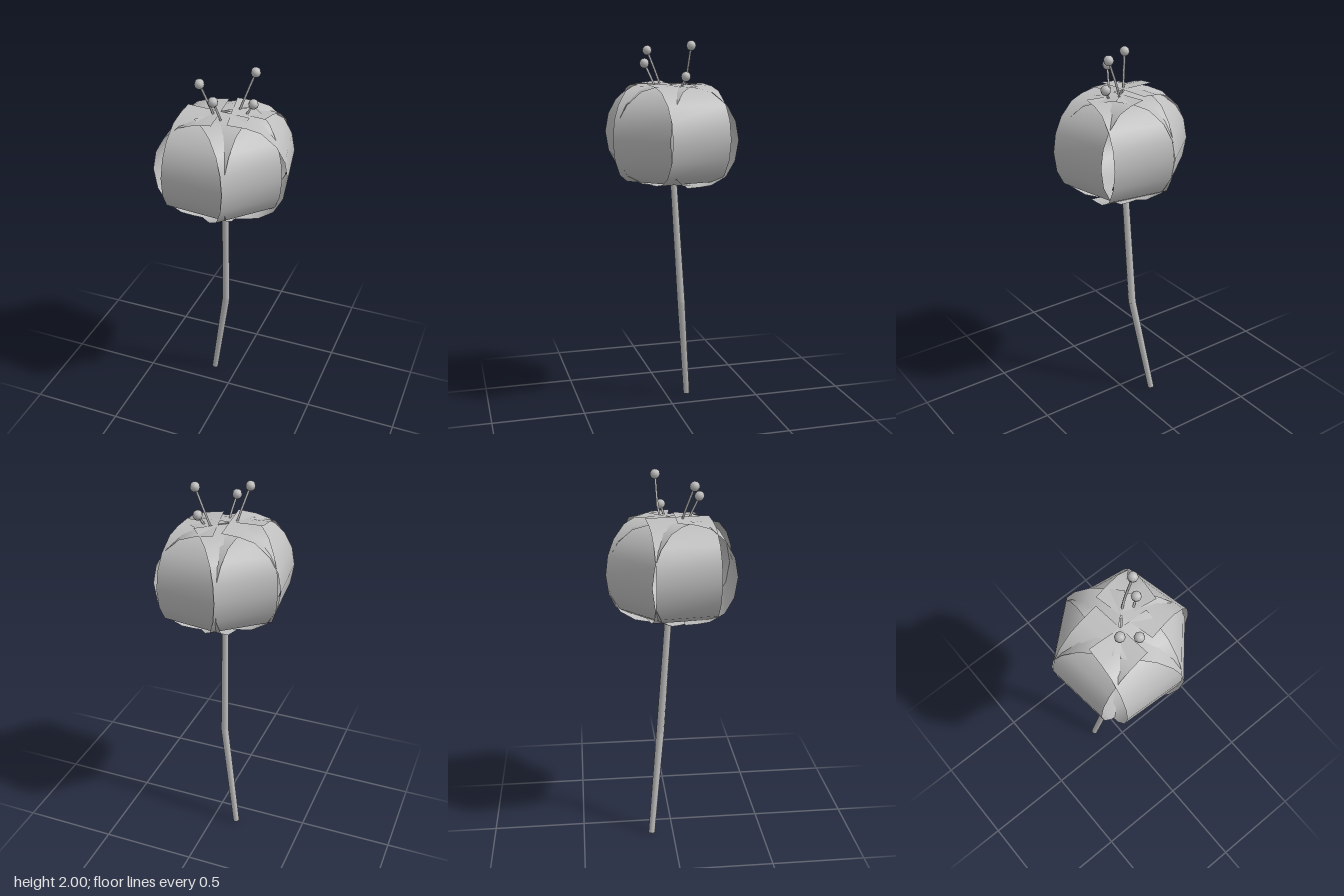
import * as THREE from 'three';

const V = (x, y, z) => new THREE.Vector3(x, y, z);

export function createModel() {
  const model = new THREE.Group();
  const grey = new THREE.MeshStandardMaterial({ color: 0xbebebe, side: THREE.DoubleSide });
  grey.name = 'plainGrey';

  const add = (name, geometry, parent = model) => {
    const mesh = new THREE.Mesh(geometry, grey);
    mesh.name = name;
    parent.add(mesh);
    return mesh;
  };

  // Petal: a rectangle bent into a C, open towards the flower's middle.
  // Each pair is the depth towards the middle and the height, from top to bottom.
  const bend = [
    [0.302, 0.26], [0.21, 0.25], [0.135, 0.228], [0.06, 0.163], [0.017, 0.085], [0, -0.012],
    [0.018, -0.118], [0.065, -0.2], [0.14, -0.243], [0.2, -0.252], [0.265, -0.257],
  ];
  const petalGeometry = new THREE.PlaneGeometry(0.33, 1, 1, bend.length - 1);
  const pos = petalGeometry.attributes.position;
  for (let i = 0; i < pos.count; i++) {
    const [depth, height] = bend[Math.floor(i / 2)];
    pos.setXYZ(i, pos.getX(i), height, -depth);
  }
  petalGeometry.computeVertexNormals();

  // Outermost point of each petal (x, y, z), the direction it faces and its roll, in degrees
  const petals = [
    [-0.065, 1.524, 0.322, 92, -2.5],
    [0.21, 1.518, 0.218, 42, 0],
    [0.312, 1.52, -0.072, -12, 0],
    [0.073, 1.514, -0.31, -82, 0],
    [-0.215, 1.52, -0.23, 229, 0],
    [-0.33, 1.524, 0.062, 174, 0],
  ];
  petals.forEach(([x, y, z, angle, roll], i) => {
    const petal = add(`petal${i + 1}`, petalGeometry);
    petal.position.set(x, y, z);
    petal.rotation.y = THREE.MathUtils.degToRad(90 - angle);
    petal.rotation.z = THREE.MathUtils.degToRad(roll);
  });

  // Stem: two straight lengths meeting at a bend, running up inside the flower
  const stem = new THREE.Group();
  stem.name = 'stem';
  model.add(stem);
  const rod = (name, a, b, radiusA, radiusB) => {
    const dir = b.clone().sub(a);
    const mesh = add(name, new THREE.CylinderGeometry(radiusB, radiusA, dir.length(), 8), stem);
    mesh.position.copy(a).add(b).multiplyScalar(0.5);
    mesh.quaternion.setFromUnitVectors(V(0, 1, 0), dir.normalize());
  };
  const knee = V(-0.038, 0.585, -0.06);
  const stemTop = V(-0.013, 1.6, 0.012);
  rod('lowerStem', V(-0.134, 0.003, -0.12), knee, 0.018, 0.022);
  rod('upperStem', knee, stemTop, 0.022, 0.017);
  add('stemBend', new THREE.SphereGeometry(0.022, 8, 6), stem).position.copy(knee);

  // Stamens: thin curved filaments with round tips
  const stamens = [
    [V(-0.058, 1.78, 0.055), V(-0.105, 1.95, 0.11)],
    [V(-0.002, 1.77, 0.095), V(-0.022, 1.885, 0.145)],
    [V(0.043, 1.78, -0.052), V(0.116, 1.975, -0.067)],
    [V(0.088, 1.77, -0.025), V(0.116, 1.82, -0.04)],
  ];
  const tipGeometry = new THREE.SphereGeometry(0.026, 8, 6);
  stamens.forEach(([middle, tip], i) => {
    const stamen = new THREE.Group();
    stamen.name = `stamen${i + 1}`;
    model.add(stamen);
    const curve = new THREE.CatmullRomCurve3([stemTop, middle, tip]);
    add('filament', new THREE.TubeGeometry(curve, 12, 0.006, 6), stamen);
    add('tip', tipGeometry, stamen).position.copy(tip);
  });

  return model;
}
